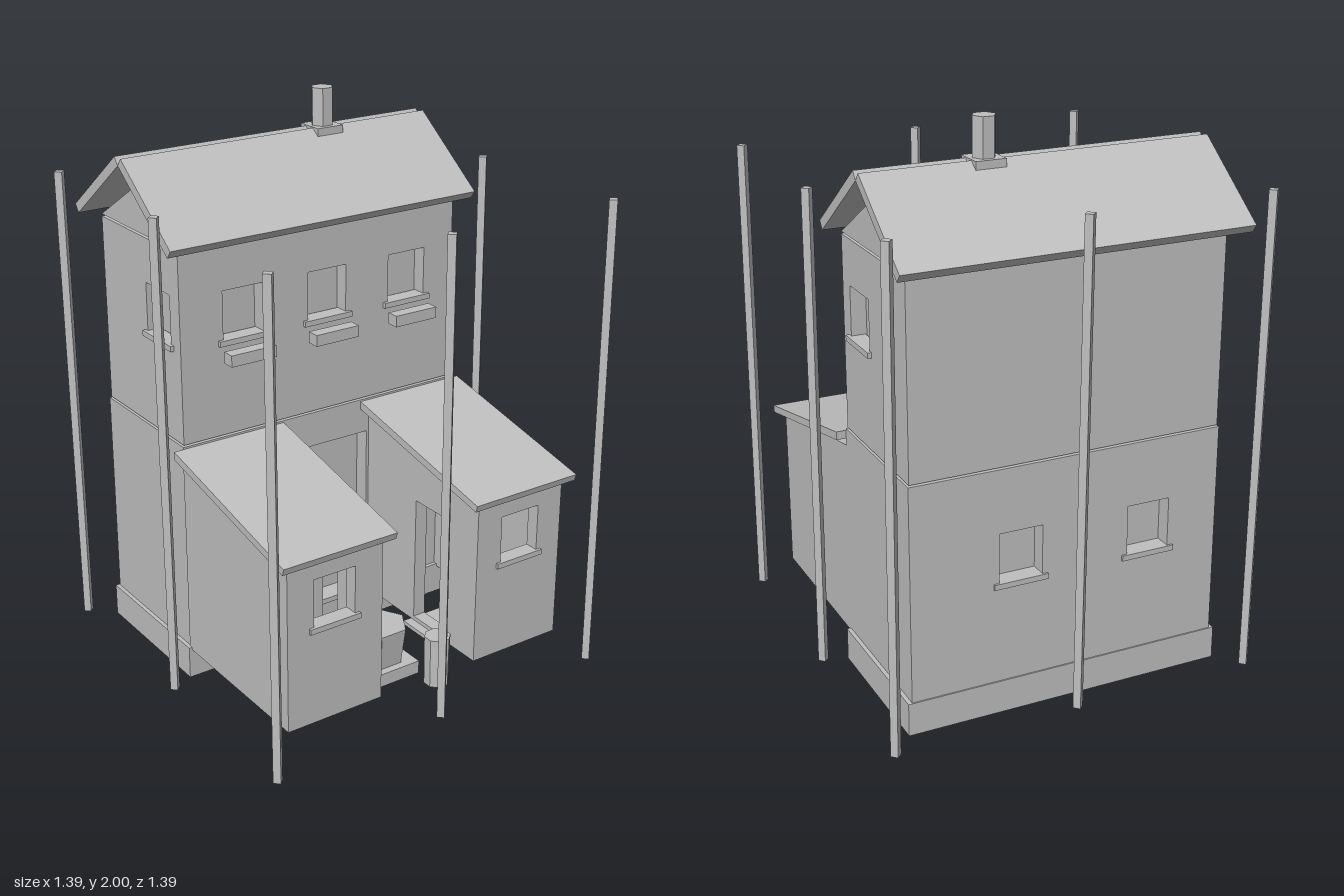
import * as THREE from 'three';

const grey = new THREE.MeshStandardMaterial({ color: 0xbfbfbf });
grey.name = 'plain grey';

export function createModel() {
  const model = new THREE.Group();
  model.name = 'house';

  const add = (name, geo) => {
    const mesh = new THREE.Mesh(geo, grey);
    mesh.name = name;
    model.add(mesh);
    return mesh;
  };

  // Box given by its limits on each axis
  const box = (name, x0, x1, y0, y1, z0, z1) =>
    add(name, new THREE.BoxGeometry(x1 - x0, y1 - y0, z1 - z0)
      .translate((x0 + x1) / 2, (y0 + y1) / 2, (z0 + z1) / 2));

  // Flat outline with rectangular holes [u0, u1, v0, v1], given a depth
  const slab = (points, holes, depth) => {
    const shape = new THREE.Shape(points.map(([u, v]) => new THREE.Vector2(u, v)));
    for (const [u0, u1, v0, v1] of holes) {
      shape.holes.push(new THREE.Path([[u0, v0], [u0, v1], [u1, v1], [u1, v0]]
        .map(([u, v]) => new THREE.Vector2(u, v))));
    }
    return new THREE.ExtrudeGeometry(shape, { depth, bevelEnabled: false });
  };
  const rect = (u0, u1, v0, v1) => [[u0, v0], [u1, v0], [u1, v1], [u0, v1]];

  // Wall facing front or back: outline in x, y, from z0 to z0 + depth
  const wallXY = (name, points, holes, z0, depth) =>
    add(name, slab(points, holes, depth).translate(0, 0, z0));
  // Wall facing sideways: outline in z, y, from x0 to x1
  const wallZY = (name, points, holes, x0, x1) =>
    add(name, slab(points, holes, x1 - x0).rotateY(-Math.PI / 2).translate(x1, 0, 0));

  // Plinth and the solid core behind the window recesses
  box('plinth', -0.595, 0.59, 0, 0.12, -0.59, -0.03);
  box('core', -0.52, 0.515, 0.12, 1.585, -0.525, -0.105);

  // The two storeys, four walls each; the upper one is slightly inset
  const storey = (name, inset, y0, y1, front, back, side) => {
    const x0 = -0.58 + inset, x1 = 0.575 - inset, z0 = -0.585 + inset, z1 = -0.045 - inset, t = 0.06;
    wallXY(name + 'FrontWall', rect(x0, x1, y0, y1), front, z1 - t, t);
    wallXY(name + 'BackWall', rect(x0, x1, y0, y1), back, z0, t);
    const outline = rect(z0 + t, z1 - t, y0, y1);
    // the side window reaches close to the front corner
    const holes = side.map(([a, b, c, d]) => [a, Math.min(b, z1 - t - 0.004), c, d]);
    wallZY(name + 'LeftWall', outline, holes, x1 - t, x1);
    wallZY(name + 'RightWall', outline, holes, x0, x0 + t);
  };
  const upperX = [-0.328, 0.018, 0.363];
  const backX = [-0.31, 0.175];
  const hole = (x, y) => [x - 0.08, x + 0.08, y, y + 0.18];
  storey('lower', 0, 0.12, 0.9, [[-0.125, 0.19, 0.135, 0.77]], backX.map(x => hole(x, 0.49)), []);
  storey('upper', 0.005, 0.905, 1.59, upperX.map(x => hole(x, 1.25)), [], [[-0.275, -0.11, 1.25, 1.43]]);
  box('threshold', -0.14, 0.2, 0.115, 0.135, -0.1, -0.025);

  // Sills and flower boxes
  for (const x of upperX) {
    box('upperSill', x - 0.1, x + 0.1, 1.235, 1.255, -0.1, -0.037);
    box('flowerBox', x - 0.09, x + 0.09, 1.178, 1.22, -0.03, 0.018);
  }
  for (const x of backX) box('backSill', x - 0.1, x + 0.1, 0.47, 0.49, -0.593, -0.53);
  box('leftSill', 0.52, 0.583, 1.235, 1.255, -0.29, -0.095);
  box('rightSill', -0.588, -0.525, 1.235, 1.255, -0.29, -0.095);

  // Attic with gable ends, under two thick roof slabs that leave a ridge groove
  wallZY('attic', [[-0.58, 1.598], [-0.05, 1.598], [-0.315, 1.76]], [], -0.575, 0.57);
  const midZ = -0.324;
  for (const s of [1, -1]) {
    const points = [[0.021, 1.862], [0.337, 1.625], [0.316, 1.597], [0, 1.834]]
      .map(([u, v]) => [midZ + s * u, v]);
    wallZY(s > 0 ? 'frontRoof' : 'backRoof', points, [], -0.635, 0.62);
  }

  // Chimney
  box('chimneyBase', 0.13, 0.238, 1.765, 1.865, -0.378, -0.27);
  add('chimneyPot', new THREE.CylinderGeometry(0.041, 0.041, 0.14, 6).toNonIndexed()
    .rotateY(Math.PI / 6).translate(0.184, 1.93, midZ)).geometry.computeVertexNormals();

  // Two open-floored wings with lean-to roofs
  const slope = z => 0.72 + (0.6 - z) * 0.183;
  const wing = (side, x0, x1, roofX0, roofX1, winX, doorOnLow) => {
    const t = 0.05, zf = 0.6 - t, zb = -0.045;
    wallXY(side + 'WingFront', rect(x0, x1, 0.11, 0.72), [[winX - 0.082, winX + 0.082, 0.47, 0.65]], zf, t);
    const outline = [[zb, 0.11], [zf, 0.11], [zf, slope(zf)], [zb, slope(zb)]];
    const door = [[0.25, 0.41, 0.125, 0.6]];
    wallZY(side + 'WingWall', outline, doorOnLow ? door : [], x0, x0 + t);
    wallZY(side + 'WingWall', outline, doorOnLow ? [] : door, x1 - t, x1);
    box(side + 'WingSill', winX - 0.1, winX + 0.1, 0.455, 0.475, zf, 0.61);
    wallZY(side + 'WingRoof', [[-0.045, 0.863], [0.628, 0.72], [0.635, 0.745], [-0.045, 0.893]], [], roofX0, roofX1);
    const s = doorOnLow ? 1 : -1;
    box(side + 'DoorStep', s > 0 ? 0.165 : -0.35, s > 0 ? 0.35 : -0.175, 0.095, 0.11, 0.235, 0.43);
  };
  wing('right', -0.583, -0.205, -0.617, -0.172, -0.398, false);
  wing('left', 0.2, 0.575, 0.163, 0.61, 0.388, true);

  // Faceted posts in the yard: a hexagonal well and an octagonal stump
  const post = (name, rTop, rBottom, y0, y1, sides, x, z) => {
    const geo = new THREE.CylinderGeometry(rTop, rBottom, y1 - y0, sides).toNonIndexed();
    geo.rotateY(Math.PI / sides).translate(x, (y0 + y1) / 2, z);
    geo.computeVertexNormals();
    add(name, geo);
  };
  box('wellBase', -0.105, 0.102, 0, 0.05, 0.21, 0.413);
  post('well', 0.105, 0.088, 0.05, 0.19, 6, -0.002, 0.308);
  post('stump', 0.048, 0.046, 0, 0.19, 8, 0.12, 0.493);

  // Eight slim, slightly leaning poles around the house
  for (const x of [-1, 0, 1]) {
    for (const z of [-1, 0, 1]) {
      if (x === 0 && z === 0) continue;
      const geo = new THREE.CylinderGeometry(0.02, 0.019, 1.745, 4).toNonIndexed();
      const p = geo.attributes.position;
      for (let i = 0; i < p.count; i++) {
        const up = p.getY(i) > 0 ? 1 : -1;
        p.setX(i, p.getX(i) - up * 0.003);
        p.setZ(i, p.getZ(i) - up * 0.003);
      }
      geo.computeVertexNormals();
      add('pole', geo.translate(x * 0.674 - 0.004, 0.8725, z * 0.675 - 0.002));
    }
  }
  return model;
}
